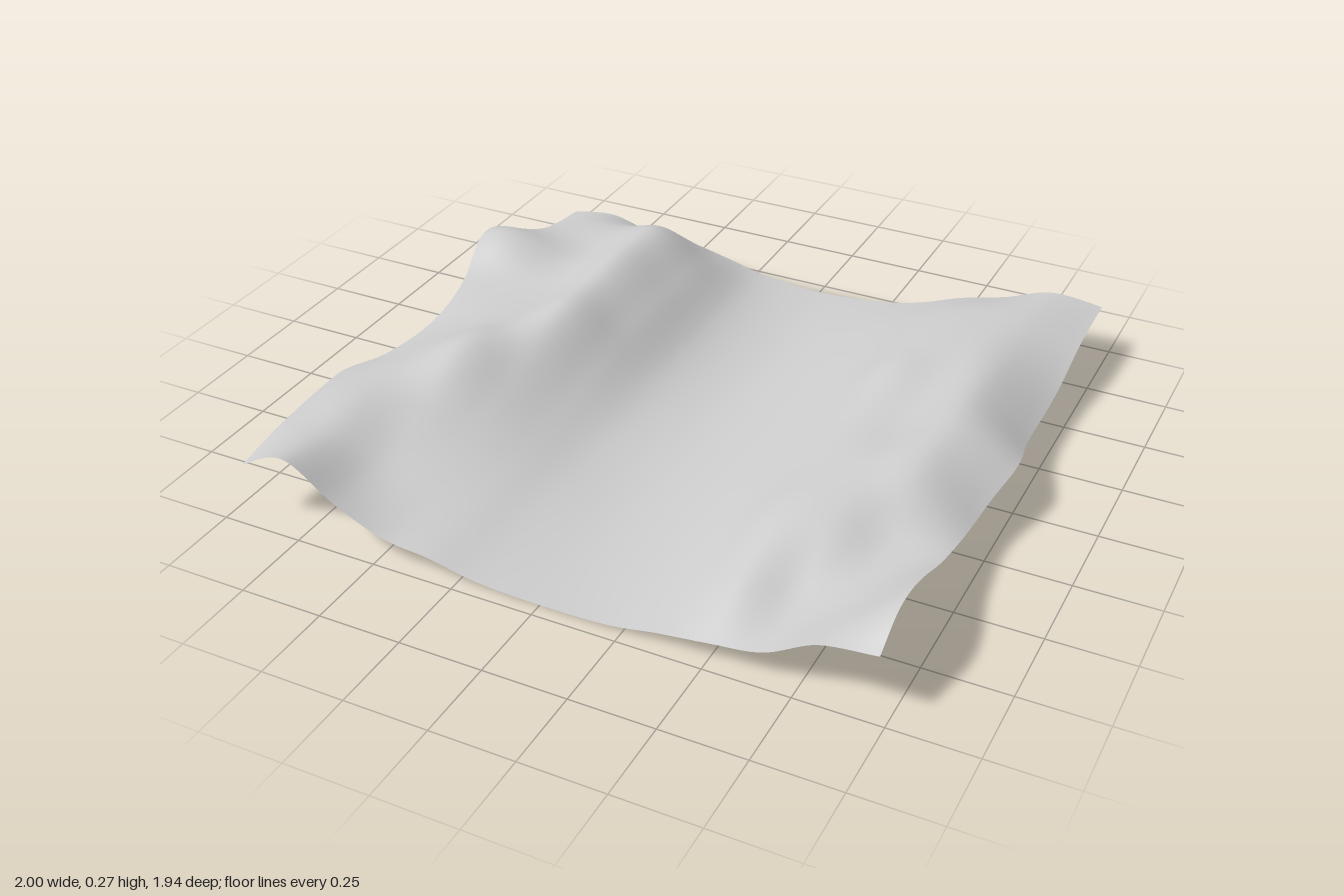
import * as THREE from 'three';

// Control lines of the ground: columns run left to right, rows back to front
const columns = [-0.95, -0.8, -0.65, -0.5, -0.35, -0.2, 0, 0.2, 0.35, 0.5, 0.65, 0.8, 0.965];
const rows = [-0.955, -0.75, -0.5, -0.25, 0, 0.25, 0.5, 0.75, 0.955];

// Heights: flat valley along the middle, uneven ridges on both sides
const heights = [
  [0.10, 0.12, 0.085, 0.08, 0.05, 0.015, 0, 0.015, 0.045, 0.10, 0.14, 0.19, 0.17],
  [0.13, 0.18, 0.20, 0.22, 0.13, 0.03, 0, 0.03, 0.08, 0.16, 0.20, 0.21, 0.16],
  [0.21, 0.20, 0.205, 0.265, 0.16, 0.04, 0, 0.035, 0.10, 0.19, 0.22, 0.21, 0.11],
  [0.17, 0.17, 0.195, 0.26, 0.16, 0.04, 0, 0.035, 0.10, 0.195, 0.21, 0.23, 0.11],
  [0.13, 0.175, 0.22, 0.25, 0.13, 0.03, 0, 0.035, 0.10, 0.18, 0.205, 0.25, 0.16],
  [0.15, 0.21, 0.27, 0.19, 0.09, 0.02, 0, 0.035, 0.10, 0.18, 0.225, 0.235, 0.125],
  [0.20, 0.22, 0.19, 0.13, 0.07, 0.02, 0, 0.03, 0.09, 0.185, 0.195, 0.15, 0.165],
  [0.20, 0.20, 0.12, 0.08, 0.05, 0.015, 0, 0.02, 0.06, 0.13, 0.10, 0.14, 0.24],
  [0.17, 0.24, 0.13, 0.06, 0.04, 0.01, 0, 0.005, 0.03, 0.05, 0.075, 0.155, 0.18],
];

// Small knolls and hollows on the ridges: x, z, radius, height
const knolls = [
  [-0.88, -0.43, 0.12, 0.06],
  [-0.46, -0.7, 0.1, 0.02],
  [-0.45, -0.1, 0.1, 0.015],
  [-0.85, 0.62, 0.1, 0.01],
  [0.93, 0.86, 0.09, 0.025],
  [0.5, -0.3, 0.1, 0.01],
];

// Smooth value through a list of numbers at t = 0..1
function smooth(list, t) {
  const f = t * (list.length - 1);
  const i = Math.min(Math.floor(f), list.length - 2);
  const at = (k) => list[THREE.MathUtils.clamp(k, 0, list.length - 1)];
  const [a, b, c, d] = [at(i - 1), at(i), at(i + 1), at(i + 2)];
  const s = f - i;
  return b + 0.5 * s * (c - a + s * (2 * a - 5 * b + 4 * c - d + s * (3 * (b - c) + d - a)));
}

const bump = (v, centre, width) => Math.exp(-(((v - centre) / width) ** 2));

export function createModel() {
  const group = new THREE.Group();
  group.name = 'terrain';

  const geometry = new THREE.PlaneGeometry(1, 1, 96, 96);
  geometry.rotateX(-Math.PI / 2);
  const pos = geometry.attributes.position;
  for (let i = 0; i < pos.count; i++) {
    const u = pos.getX(i) + 0.5;
    const v = pos.getZ(i) + 0.5;
    const x = smooth(columns, u);
    const z = smooth(rows, v);
    let y = smooth(heights.map((row) => smooth(row, u)), v);
    for (const [kx, kz, r, h] of knolls) y += h * bump(x, kx, r) * bump(z, kz, r);

    // Wavy side edges and slightly drawn-out corners
    const left = bump(u, 0, 0.08);
    const right = bump(u, 1, 0.08);
    const dx =
      right * 0.035 * bump(z, 0, 0.15) -
      left * (0.05 * bump(z, -0.42, 0.18) + 0.02 * bump(z, 0.42, 0.12));
    const dz =
      (bump(x, -0.82, 0.12) + bump(x, 0.93, 0.1)) * 0.014 * bump(v, 1, 0.08) -
      right * 0.02 * bump(v, 0, 0.08);
    pos.setXYZ(i, x + dx, Math.max(0, y), z + dz);
  }
  geometry.computeVertexNormals();

  const ground = new THREE.Mesh(
    geometry,
    new THREE.MeshStandardMaterial({ color: 0xcccccc, side: THREE.DoubleSide })
  );
  ground.name = 'valleyGround';
  group.add(ground);
  return group;
}
